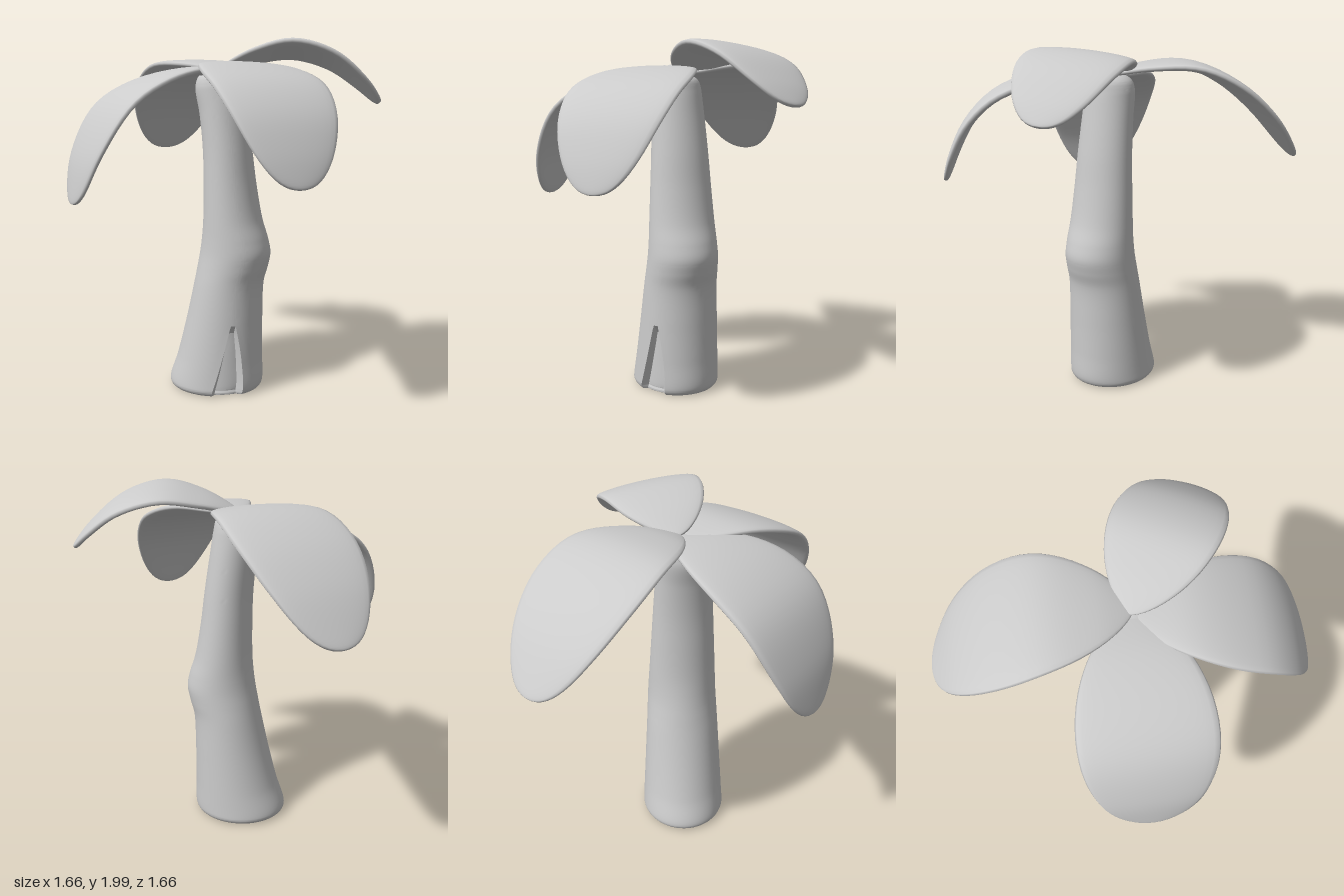
import * as THREE from 'three';
import { toCreasedNormals } from 'three/addons/utils/BufferGeometryUtils.js';

const V = (x, y, z = 0) => new THREE.Vector3(x, y, z);

// Skin a list of equal closed rings and close both ends with a fan
function loft(rings) {
  const n = rings[0].length, last = rings.length - 1;
  const pts = rings.flat(), index = [];
  const centre = ring => ring.reduce((s, p) => s.add(p), V(0, 0)).divideScalar(n);
  const a = pts.push(centre(rings[0])) - 1;
  const b = pts.push(centre(rings[last])) - 1;
  for (let j = 0; j < n; j++) {
    const k = (j + 1) % n;
    for (let i = 0; i < last; i++) {
      const p = i * n + j, q = i * n + k;
      index.push(p, q, q + n, p, q + n, p + n);
    }
    index.push(a, k, j, b, last * n + j, last * n + k);
  }
  const g = new THREE.BufferGeometry().setFromPoints(pts);
  g.setIndex(index);
  g.computeVertexNormals();
  return g;
}

// Trunk: leaning, knobbly column with a pointed notch cut into its foot
function trunkGeometry() {
  // height, left edge, right edge
  const profile = new THREE.CatmullRomCurve3([
    [0.005, -0.28, 0.17], [0.012, -0.315, 0.2], [0.04, -0.333, 0.217], [0.2, -0.283, 0.217],
    [0.42, -0.225, 0.217], [0.64, -0.175, 0.225], [0.73, -0.157, 0.25], [0.81, -0.142, 0.265],
    [0.89, -0.13, 0.25], [1, -0.12, 0.215], [1.2, -0.117, 0.178], [1.4, -0.122, 0.152],
    [1.6, -0.143, 0.122], [1.74, -0.168, 0.1], [1.8, -0.155, 0.085], [1.835, -0.11, 0.04],
    [1.845, -0.05, -0.01],
  ].map(p => V(...p)));
  const rings = [];
  for (let i = 0; i <= 140; i++) {
    const { x: y, y: x0, z: x1 } = profile.getPoint(i / 140);
    const cx = (x0 + x1) / 2, rx = (x1 - x0) / 2;
    const dome = y > 1.74 ? rx / 0.134 : y < 0.04 ? rx / 0.275 : 1;
    const cz = 0.05, rz = (0.253 - 0.062 * y) * Math.min(1, dome);
    const at = (a, depth) => V(cx + (rx - depth) * Math.sin(a), y, cz + (rz - depth) * Math.cos(a));
    // notch edges as angles round the trunk, closing towards the tip
    const t = Math.min(1, y / 0.42);
    const a0 = 0.22 + 0.29 * t, a1 = 0.92 - 0.28 * t * t;
    const depth = 0.045 * Math.min(1, (1 - t) * 8, 0.35 + y / 0.05);
    const ring = [at(a0, 0)];
    for (let k = 0; k <= 6; k++) {
      ring.push(at(a0 + (a1 - a0) * (0.08 + 0.8 * k / 6), depth));
    }
    for (let k = 0; k < 48; k++) {
      ring.push(at(a1 + (2 * Math.PI - a1 + a0) * k / 48, 0));
    }
    rings.push(ring);
  }
  return toCreasedNormals(loft(rings), 0.6);
}

// Leaf: thick oval blade swept along a drooping midrib of [distance, height] points,
// flat on top and bulging slightly underneath
function leafGeometry(midrib, width, roll = 0) {
  const curve = new THREE.CatmullRomCurve3(midrib.map(([d, y]) => V(d, y)));
  const rings = [];
  for (let i = 0; i <= 36; i++) {
    const u = THREE.MathUtils.clamp((1 - Math.cos(Math.PI * i / 36)) / 2, 0.0005, 0.9995);
    const f = Math.sin(Math.PI * u ** 0.99) ** (0.64 - 0.2 * u);
    const c = curve.getPointAt(u), t = curve.getTangentAt(u);
    const ring = [];
    for (let k = 0; k < 28; k++) {
      const a = 2 * Math.PI * k / 28, s = Math.sin(a);
      const z = -width * f * Math.cos(a);
      const bulge = s > 0 ? 0.026 * s ** 0.55 : -0.034 * (-s) ** 0.75;
      const h = bulge * Math.sqrt(f) - 0.008 * f * Math.cos(a) ** 2;
      ring.push(V(c.x - t.y * h, c.y + t.x * h + roll * z, z));
    }
    rings.push(ring);
  }
  return loft(rings);
}

export function createModel() {
  const group = new THREE.Group();
  const material = new THREE.MeshStandardMaterial({ color: 0xcccccc });
  const add = (name, geometry) => {
    const mesh = new THREE.Mesh(geometry, material);
    mesh.name = name;
    group.add(mesh);
    return mesh;
  };

  add('trunk', trunkGeometry());

  // base and dir are [x, z] on the ground plan
  const leaves = [
    { name: 'backRightLeaf', base: [0.01, 0.015], dir: [-0.7, -0.715], width: 0.333,
      midrib: [[0, 1.84], [0.2, 1.885], [0.45, 1.89], [0.68, 1.79], [0.88, 1.62], [1.07, 1.37]] },
    { name: 'frontRightLeaf', base: [-0.01, 0.005], dir: [-0.69, 0.725], width: 0.34,
      midrib: [[0, 1.83], [0.25, 1.83], [0.49, 1.765], [0.68, 1.64], [0.83, 1.39], [0.905, 1.125]] },
    { name: 'frontLeftLeaf', base: [-0.03, 0.05], dir: [0.685, 0.715], width: 0.315,
      midrib: [[0, 1.835], [0.28, 1.85], [0.52, 1.79], [0.66, 1.72], [0.79, 1.59], [0.88, 1.42], [0.94, 1.25]] },
    { name: 'backLeftLeaf', base: [-0.04, 0.025], dir: [0.96, -0.27], width: 0.282, roll: 0.09,
      midrib: [[0, 1.85], [0.2, 1.925], [0.41, 1.962], [0.63, 1.9], [0.8, 1.77], [0.9, 1.66]] },
  ];
  for (const { name, base, dir, width, roll, midrib } of leaves) {
    const leaf = add(name, leafGeometry(midrib, width, roll));
    leaf.position.set(base[0], 0, base[1]);
    leaf.rotation.y = Math.atan2(-dir[1], dir[0]);
  }
  return group;
}
